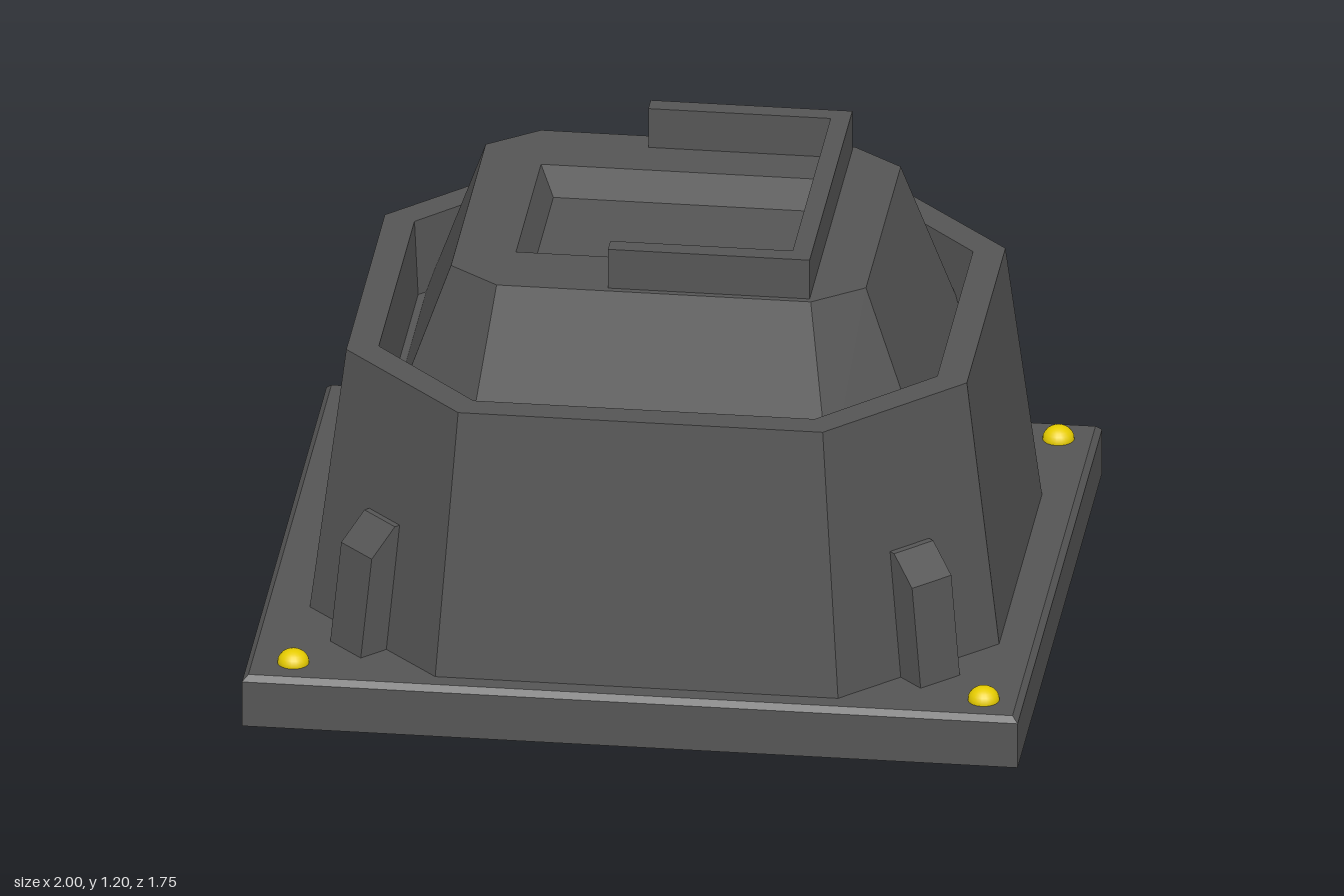
import * as THREE from 'three';

const dark = new THREE.MeshStandardMaterial({ color: 0x555555, flatShading: true });
const yellow = new THREE.MeshStandardMaterial({ color: 0xe6cc00 });

// Chamfered rectangle: half sizes hx, hz; cx, cz are where the straight sides end
function ring(y, hx, hz, cx = hx, cz = hz, ox = 0) {
  return [[hx, cz], [hx, -cz], [cx, -hz], [-cx, -hz], [-hx, -cz], [-hx, cz], [-cx, hz], [cx, hz]]
    .map(([x, z]) => [x + ox, y, z]);
}

// Skin a stack of rings and close both ends
function loft(rings) {
  const n = rings[0].length;
  const index = [];
  for (let i = 0; i < rings.length - 1; i++) {
    for (let j = 0; j < n; j++) {
      const a = i * n + j, b = i * n + (j + 1) % n;
      index.push(a, b, b + n, a, b + n, a + n);
    }
  }
  const top = (rings.length - 1) * n;
  for (let j = 1; j < n - 1; j++) {
    index.push(0, j + 1, j, top, top + j, top + j + 1);
  }
  const g = new THREE.BufferGeometry();
  g.setAttribute('position', new THREE.Float32BufferAttribute(rings.flat(2), 3));
  g.setIndex(index);
  const flat = g.toNonIndexed();
  flat.computeVertexNormals();
  return flat;
}

function polygon(points) {
  return new THREE.Shape(points.map(([x, y]) => new THREE.Vector2(x, y)));
}

function add(parent, name, geometry, material = dark) {
  const mesh = new THREE.Mesh(geometry, material);
  mesh.name = name;
  parent.add(mesh);
  return mesh;
}

export function createModel() {
  const model = new THREE.Group();
  model.name = 'bunker';

  // Base slab with a small bevel on its upper edge
  add(model, 'baseSlab', loft([
    ring(0, 1, 0.875), ring(0.125, 1, 0.875), ring(0.14, 0.985, 0.86),
  ]));

  const tower = new THREE.Group();
  tower.name = 'tower';
  tower.position.x = 0.01;
  model.add(tower);

  // Lower wall, its flat rim and the trench inside it
  add(tower, 'lowerWall', loft([
    ring(0.13, 0.89, 0.815, 0.52, 0.445),
    ring(0.855, 0.8, 0.735, 0.47, 0.4),
    ring(0.855, 0.72, 0.66, 0.44, 0.37),
    ring(0.65, 0.71, 0.65, 0.435, 0.365),
  ]));

  // Upper tier with a sunken panel in its roof
  add(tower, 'upperTier', loft([
    ring(0.64, 0.695, 0.6, 0.47, 0.42),
    ring(1.09, 0.535, 0.46, 0.405, 0.36),
    ring(1.09, 0.36, 0.26, 0.36, 0.26, -0.02),
    ring(1.01, 0.325, 0.235, 0.325, 0.235, -0.02),
  ]));

  // Three-sided parapet on the roof, open towards -x
  const parapet = new THREE.ExtrudeGeometry(polygon([
    [-0.11, -0.443], [0.41, -0.443], [0.41, 0.443], [-0.11, 0.443],
    [-0.11, 0.393], [0.36, 0.393], [0.36, -0.393], [-0.11, -0.393],
  ]), { depth: 0.12, bevelEnabled: false });
  parapet.rotateX(-Math.PI / 2).translate(0, 1.08, 0);
  add(model, 'roofParapet', parapet);

  // Buttress profile: distance along the diagonal, height
  const buttress = new THREE.ExtrudeGeometry(polygon([
    [0.8, 0.13], [1.027, 0.13], [0.99, 0.41], [0.915, 0.48], [0.8, 0.48],
  ]), { depth: 0.127, bevelEnabled: false });
  buttress.translate(0, 0, -0.0635);

  // Domed bolt head
  const bolt = new THREE.SphereGeometry(0.041, 20, 12);
  bolt.scale(1, 0.85, 1);

  for (const sx of [-1, 1]) {
    for (const sz of [-1, 1]) {
      const b = add(tower, 'cornerButtress', buttress);
      b.rotation.y = Math.atan2(-sz, sx);
      b.position.set(sx * 0.0415, 0, -sz * 0.0415);
      add(tower, 'bolt', bolt, yellow).position.set(sx * 0.89, 0.142, sz * 0.775);
    }
  }
  return model;
}
